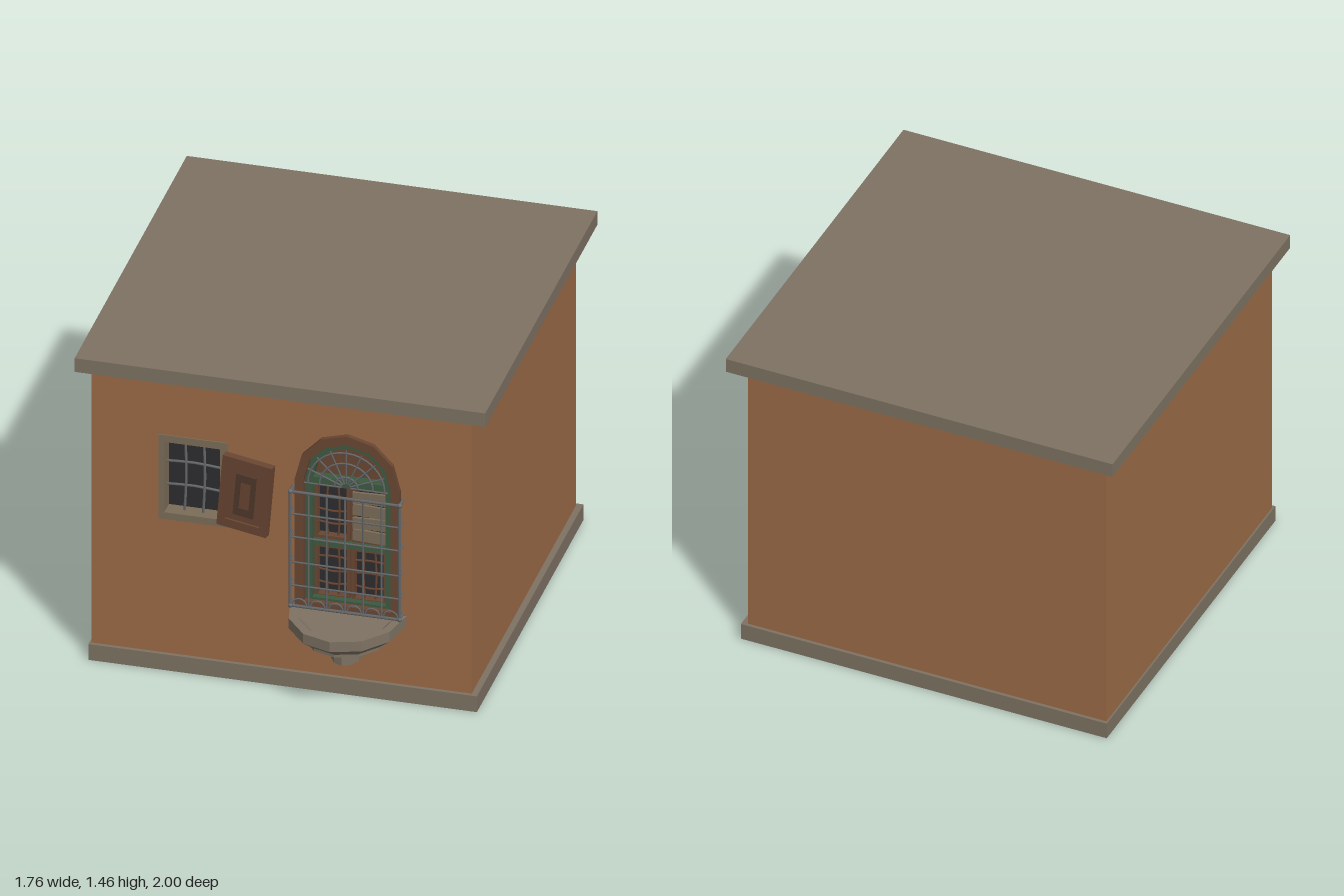
import * as THREE from 'three';

const mat = (color, extra = {}) => new THREE.MeshStandardMaterial({ color, ...extra });
const plaster = mat(0x9a6a46);
const stone = mat(0x7d7162, { flatShading: true, side: THREE.DoubleSide });
const wood = mat(0x684532);
const darkWood = mat(0x50382c);
const green = mat(0x3c5940);
const glass = mat(0x2c2d2f);
const iron = mat(0x66686a);
const boards = mat(0x7a6c58);

function add(parent, name, geometry, material, x = 0, y = 0, z = 0) {
  const mesh = new THREE.Mesh(geometry, material);
  mesh.name = name;
  mesh.position.set(x, y, z);
  parent.add(mesh);
  return mesh;
}

// Box given by its limits on each axis
function box(parent, name, [x0, x1], [y0, y1], [z0, z1], material) {
  return add(parent, name, new THREE.BoxGeometry(x1 - x0, y1 - y0, z1 - z0), material,
    (x0 + x1) / 2, (y0 + y1) / 2, (z0 + z1) / 2);
}

// Thin round bar through a few points
function bar(parent, name, points, r, material) {
  const path = new THREE.CatmullRomCurve3(points.map(p => new THREE.Vector3(...p)));
  return add(parent, name, new THREE.TubeGeometry(path, (points.length - 1) * 2, r, 5), material);
}

function group(parent, name, x = 0, y = 0, z = 0) {
  const g = new THREE.Group();
  g.name = name;
  g.position.set(x, y, z);
  parent.add(g);
  return g;
}

const rectPoints = (x0, x1, y0, y1) =>
  [[x0, y0], [x1, y0], [x1, y1], [x0, y1]].map(p => new THREE.Vector2(...p));

// Faceted arch outline around x = 0
function archPoints(half, bottom, spring, rise) {
  const pts = [new THREE.Vector2(-half, bottom), new THREE.Vector2(half, bottom)];
  for (let i = 0; i <= 6; i++) {
    const a = i * Math.PI / 6;
    pts.push(new THREE.Vector2(half * Math.cos(a), spring + rise * Math.sin(a)));
  }
  return pts;
}

// Extruded outline with holes
function plate(parent, name, outer, holes, z0, z1, material) {
  const shape = new THREE.Shape(outer);
  holes.forEach(h => shape.holes.push(new THREE.Path(h)));
  return add(parent, name, new THREE.ExtrudeGeometry(shape, { depth: z1 - z0, bevelEnabled: false }),
    material, 0, 0, z0);
}

const CX = 0.275; // centre of the arched window

function buildHouse(root) {
  box(root, 'walls', [-0.83, 0.805], [0.04, 1.4], [-0.94, 0.62], plaster);
  const archHole = archPoints(0.215, 0.38, 1.0, 0.22).map(p => p.clone().setX(p.x + CX));
  plate(root, 'frontWall', rectPoints(-0.83, 0.805, 0.04, 1.4),
    [rectPoints(-0.53, -0.255, 0.725, 1.1), archHole], 0.62, 0.703, plaster);
  box(root, 'roofSlab', [-0.885, 0.88], [1.39, 1.455], [-1, 0.765], stone);
  box(root, 'plinth', [-0.838, 0.832], [0, 0.075], [-0.955, 0.72], stone);
}

function buildSmallWindow(root) {
  const w = group(root, 'smallWindow');
  plate(w, 'stoneSurround', rectPoints(-0.54, -0.245, 0.712, 1.113),
    [rectPoints(-0.515, -0.275, 0.745, 1.08)], 0.625, 0.708, boards);
  box(w, 'pane', [-0.52, -0.27], [0.74, 1.085], [0.621, 0.635], glass);
  // Slightly bent iron grille
  for (let i = 0; i < 2; i++) {
    const x = -0.435 + i * 0.08, y = 0.86 + i * 0.11;
    bar(w, 'uprightBar', [[x - 0.004, 0.745, 0.665], [x + 0.005, 0.91, 0.67], [x, 1.08, 0.665]], 0.006, iron);
    bar(w, 'crossBar', [[-0.515, y, 0.665], [-0.4, y + 0.008, 0.67], [-0.275, y - 0.004, 0.665]], 0.006, iron);
  }
  // Sagging open shutter
  const s = group(root, 'shutter', -0.153, 0.906, 0.752);
  s.rotation.set(0, -0.14, -0.085);
  box(s, 'leaf', [-0.112, 0.112], [-0.168, 0.168], [-0.012, 0.006], wood);
  for (const side of [1, -1]) {
    const z = side > 0 ? [0.006, 0.016] : [-0.018, -0.012];
    plate(s, 'leafBorder', rectPoints(-0.112, 0.112, -0.168, 0.168),
      [rectPoints(-0.078, 0.078, -0.13, 0.13)], ...z, wood);
    plate(s, 'panelMoulding', rectPoints(-0.045, 0.045, -0.098, 0.098),
      [rectPoints(-0.024, 0.024, -0.062, 0.062)], ...z, darkWood);
  }
}

function buildArchedWindow(root) {
  const w = group(root, 'archedWindow', CX);
  plate(w, 'outerArchFrame', archPoints(0.225, 0.4, 1.0, 0.232),
    [archPoints(0.187, 0.39 + 0.03, 1.0, 0.19)], 0.64, 0.725, wood);
  plate(w, 'innerArchFrame', archPoints(0.19, 0.4, 1.0, 0.193),
    [archPoints(0.157, 0.43, 1.0, 0.158)], 0.63, 0.695, green);
  plate(w, 'pane', archPoints(0.188, 0.4, 1.0, 0.19), [], 0.621, 0.632, glass);
  plate(w, 'fanPanel', archPoints(0.157, 0.99, 1.0, 0.158), [], 0.632, 0.645, wood);
  box(w, 'transom', [-0.16, 0.16], [0.965, 1.0], [0.63, 0.69], green);
  box(w, 'middleRail', [-0.16, 0.16], [0.672, 0.7], [0.63, 0.68], green);
  // Glazed leaves with crooked glazing bars
  for (const sx of [-1, 1]) for (const [y0, y1] of [[0.42, 0.672], [0.7, 0.965]]) {
    const leaf = group(w, 'casement', sx * 0.079, (y0 + y1) / 2, 0);
    const h = (y1 - y0) / 2;
    plate(leaf, 'leafFrame', rectPoints(-0.076, 0.076, -h, h),
      [rectPoints(-0.062, 0.062, 0.014 - h, h - 0.014)], 0.632, 0.668, wood);
    for (let i = -1; i <= 1; i++) {
      const bend = 0.006 * (i || sx);
      bar(leaf, 'glazingBar', [[-0.062, i * 0.06, 0.65], [0, i * 0.06 + bend, 0.652], [0.062, i * 0.06, 0.65]], 0.005, wood);
      if (i) bar(leaf, 'glazingBar', [[i * 0.022, -h, 0.65], [i * 0.022 + bend, 0, 0.652], [i * 0.022, h, 0.65]], 0.005, wood);
    }
  }
  // Boards nailed over one leaf
  for (let i = 0; i < 4; i++) {
    const b = box(w, 'board', [0.012, 0.155], [0.715 + i * 0.06, 0.767 + i * 0.06], [0.67, 0.682], boards);
    b.rotation.z = i % 2 ? 0.03 : -0.05;
  }
  // Fan grille
  const fan = group(w, 'fanGrille', 0, 0.995, 0.738);
  for (const r of [0.05, 0.115, 0.165])
    add(fan, 'fanArc', new THREE.TorusGeometry(r, 0.0045, 5, 16, Math.PI), iron);
  for (let i = 0; i <= 8; i++) {
    const a = i * Math.PI / 8, c = Math.cos(a), s = Math.sin(a);
    bar(fan, 'fanSpoke', [[c * 0.02, s * 0.02, 0], [c * 0.18, s * 0.18, 0]], 0.004, iron);
  }
}

function buildCage(root) {
  const cage = group(root, 'ironCage', CX);
  const half = 0.235, y0 = 0.413, y1 = 0.955, zf = 0.757;
  for (let i = 0; i < 7; i++) {
    const x = -half + i * half / 3;
    bar(cage, 'cageUpright', [[x, y0, zf], [x, y1, zf]], i % 6 ? 0.0045 : 0.007, iron);
  }
  [y0, 0.51, 0.62, 0.74, 0.85, y1].forEach((y, i) => {
    const r = i % 5 ? 0.0045 : 0.007;
    bar(cage, 'cageRail', [[-half, y, zf], [half, y, zf]], r, iron);
    for (const s of [-1, 1]) bar(cage, 'sideRail', [[s * half, y, 0.69], [s * half, y, zf]], r, iron);
  });
  for (const sx of [-1, 1]) for (const y of [y0, y1])
    add(cage, 'cornerKnob', new THREE.SphereGeometry(0.011, 8, 6), iron, sx * half, y, zf);
  // Scrolls along the foot
  for (let i = 0; i < 6; i++) {
    const x = -half + (i + 0.5) * half / 3;
    add(cage, 'scroll', new THREE.TorusGeometry(0.03, 0.004, 5, 12, Math.PI), iron, x, y0 + 0.005, zf);
  }
}

function buildBalcony(root) {
  // Half-round basin with a sunken top
  const profile = [[0, 0.225], [0.078, 0.225], [0.092, 0.235], [0.18, 0.29], [0.19, 0.29], [0.19, 0.303],
    [0.25, 0.355], [0.25, 0.402], [0.215, 0.402], [0.2, 0.39], [0, 0.39]];
  const basin = new THREE.LatheGeometry(profile.map(p => new THREE.Vector2(...p)), 6, -Math.PI / 2, Math.PI);
  add(root, 'balconyBasin', basin, stone, CX, 0, 0.7).scale.z = 1.195;
  const foot = new THREE.CylinderGeometry(0.07, 0.07, 0.045, 6, 1, false, -Math.PI / 2, Math.PI);
  add(root, 'balconyFoot', foot, stone, CX, 0.212, 0.7).scale.z = 1.64;
}

export function createModel() {
  const root = new THREE.Group();
  root.name = 'house';
  buildHouse(root);
  buildSmallWindow(root);
  buildArchedWindow(root);
  buildCage(root);
  buildBalcony(root);
  return root;
}
